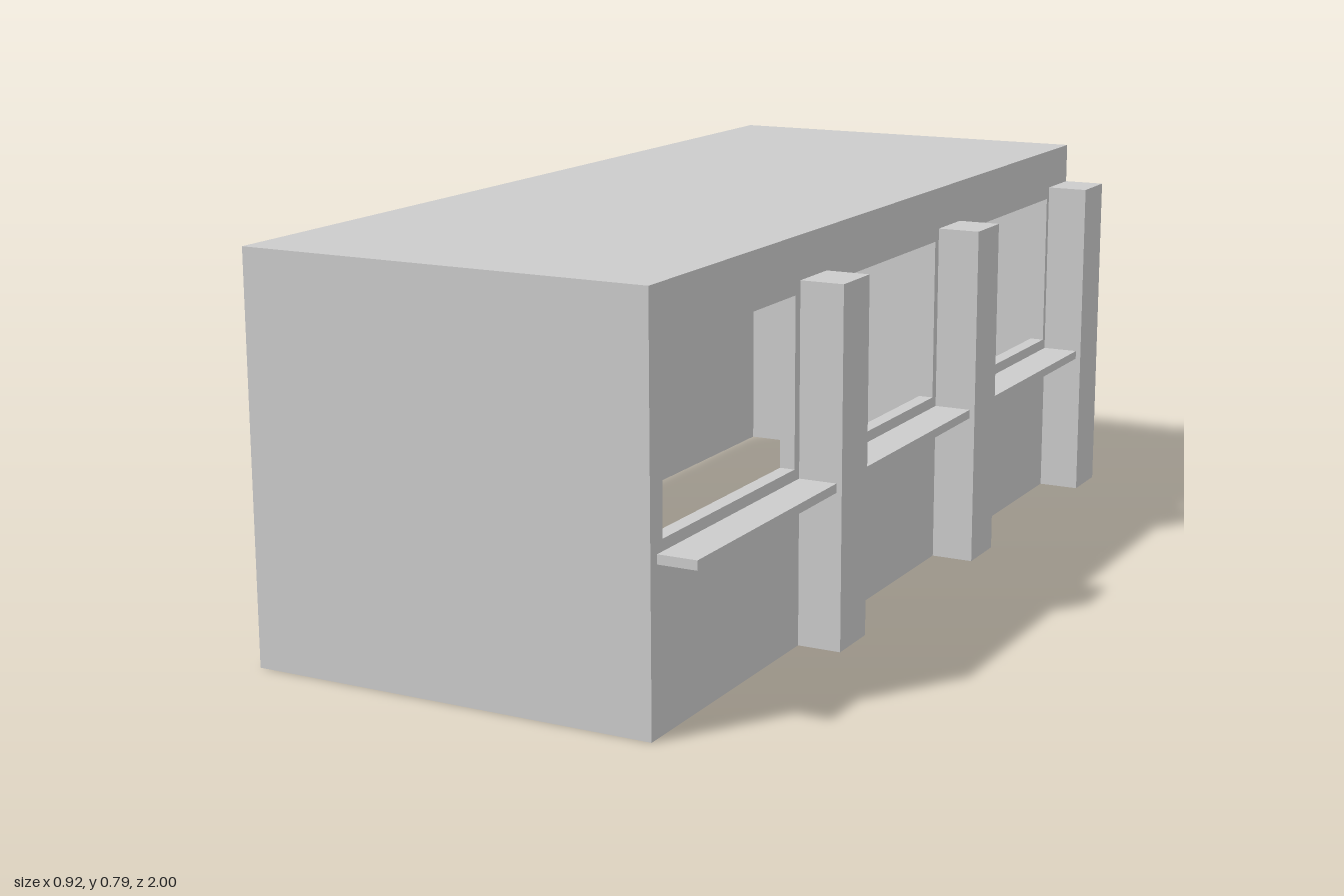
import * as THREE from 'three';

const material = new THREE.MeshStandardMaterial({ color: 0xcccccc, flatShading: true });

export function createModel() {
  const model = new THREE.Group();

  // Box given by its lower and upper bounds on each axis
  const box = (name, x0, x1, y0, y1, z0, z1) => {
    const mesh = new THREE.Mesh(new THREE.BoxGeometry(x1 - x0, y1 - y0, z1 - z0), material);
    mesh.position.set((x0 + x1) / 2, (y0 + y1) / 2, (z0 + z1) / 2);
    mesh.name = name;
    model.add(mesh);
  };

  const back = -0.458, face = 0.37, height = 0.79;
  const wall = 0.02, facadeDepth = 0.03, inner = face - facadeDepth;

  // Hollow shell, open underneath
  box('roof', back, inner, height - wall, height, -1, 1);
  box('rearWall', back, back + wall, 0, height - wall, -1, 1);
  box('frontEndWall', back + wall, inner, 0, height - wall, 1 - wall, 1);
  box('backEndWall', back + wall, inner, 0, height - wall, -1, -1 + wall);

  // Rectangle outline drawn in (z, y)
  const rectangle = (path, z0, z1, y0, y1) => path
    .moveTo(z0, y0).lineTo(z1, y0).lineTo(z1, y1).lineTo(z0, y1).closePath();

  // Facade with three window openings
  const outline = new THREE.Shape();
  rectangle(outline, -1, 1, 0, height);
  for (const z of [0.703, 0.042, -0.619]) {
    const opening = new THREE.Path();
    rectangle(opening, z - 0.254, z + 0.254, 0.35, 0.68);
    outline.holes.push(opening);
  }
  const facade = new THREE.Mesh(
    new THREE.ExtrudeGeometry(outline, { depth: facadeDepth, bevelEnabled: false }).rotateY(-Math.PI / 2),
    material
  );
  facade.position.x = face;
  facade.name = 'windowFacade';
  model.add(facade);

  // Pillars standing against the facade
  for (const z of [0.372, -0.287, -0.943]) box('pillar', face, 0.458, 0, 0.705, z - 0.057, z + 0.057);

  // Counter ledges under the windows, running between pillars
  for (const [z0, z1] of [[0.429, 0.977], [-0.23, 0.315], [-0.886, -0.344]])
    box('windowLedge', face, 0.447, 0.31, 0.328, z0, z1);

  return model;
}
